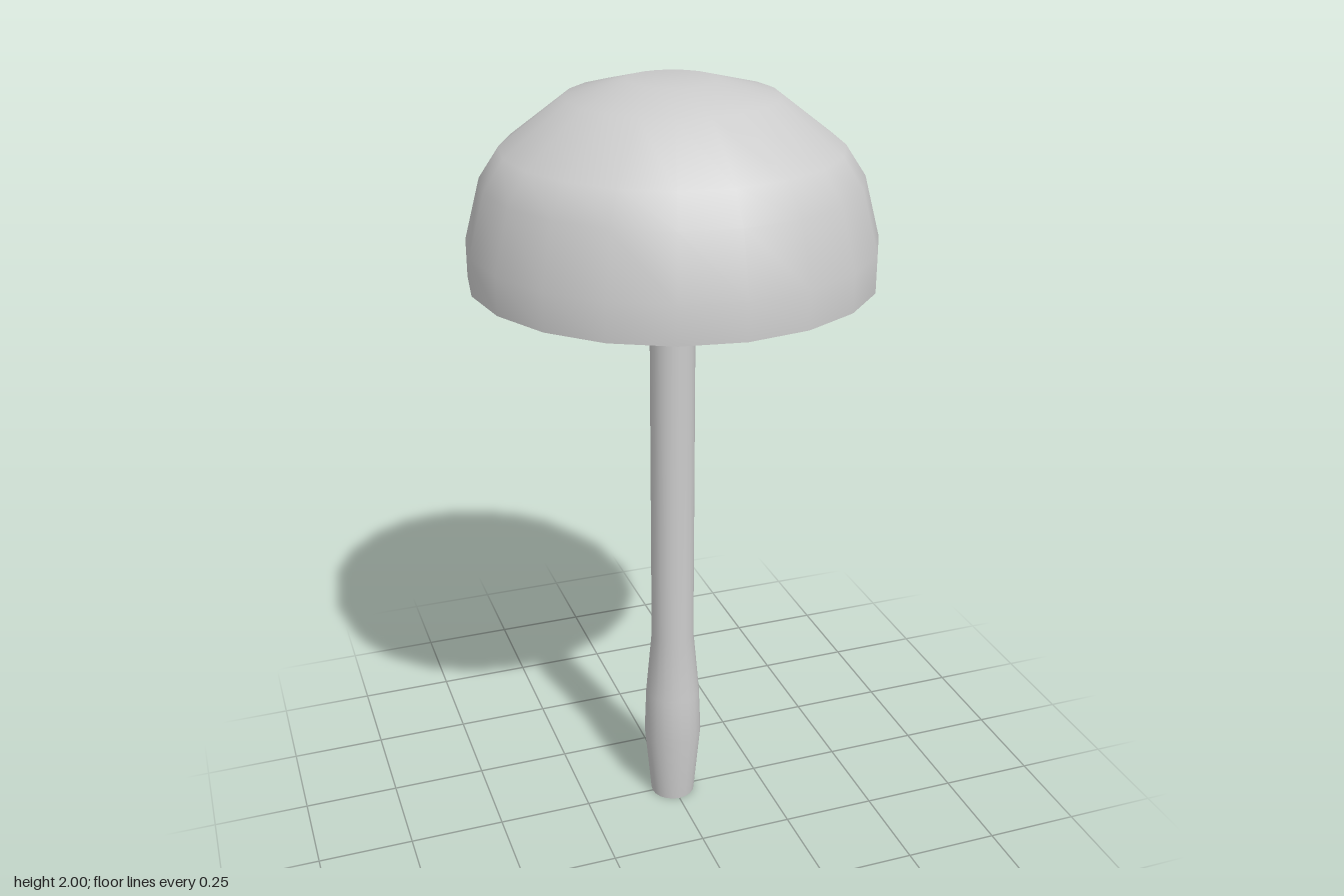
import * as THREE from 'three';

const SIDES = 20;

// Revolve a profile of [radius, height] pairs into a thin, open shell.
function turned(name, profile) {
  const points = profile.map(([r, y]) => new THREE.Vector2(r, y));
  const mesh = new THREE.Mesh(
    new THREE.LatheGeometry(points, SIDES),
    new THREE.MeshStandardMaterial({ color: 0xcccccc, side: THREE.DoubleSide })
  );
  mesh.name = name;
  return mesh;
}

export function createModel() {
  const mushroom = new THREE.Group();
  mushroom.name = 'mushroom';

  mushroom.add(
    // Stem: open bulging foot, slim shaft, small lip, then a neck up into the cap
    turned('stem', [
      [0.06, 0], [0.078, 0.2], [0.073, 0.33], [0.057, 0.51], [0.057, 1.74],
      [0.062, 1.77], [0.04, 1.79], [0.04, 1.99],
    ]),
    // Cap: hollow dome, open underneath
    turned('cap', [
      [0.5, 1.527], [0.5, 1.62], [0.46, 1.77], [0.41, 1.845], [0.255, 1.963], [0.11, 2], [0, 2],
    ])
  );
  return mushroom;
}
